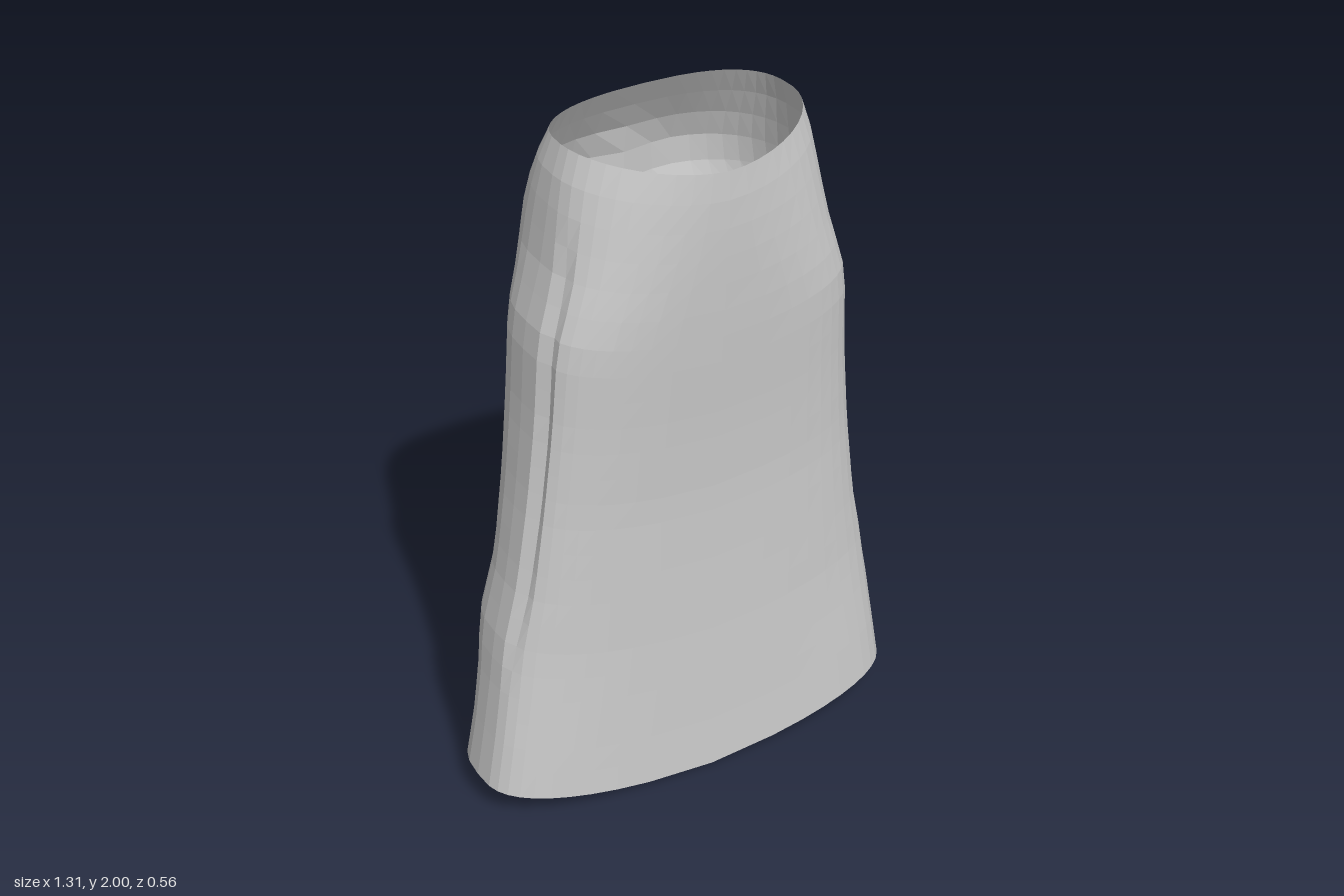
import * as THREE from 'three';

// Height fraction, half width, front depth, back depth, front and back squareness
const SECTIONS = [
  [0.00, 0.656, 0.225, 0.258, 3.4, 2.6],
  [0.08, 0.630, 0.221, 0.254, 3.4, 2.5],
  [0.16, 0.606, 0.219, 0.252, 3.2, 2.6],
  [0.24, 0.586, 0.218, 0.256, 3.0, 2.9],
  [0.345, 0.541, 0.218, 0.250, 3.3, 2.6],
  [0.48, 0.503, 0.221, 0.250, 3.5, 2.7],
  [0.605, 0.477, 0.236, 0.252, 3.5, 2.8],
  [0.735, 0.461, 0.257, 0.256, 3.4, 2.7],
  [0.78, 0.436, 0.264, 0.264, 3.2, 2.7],
  [0.825, 0.410, 0.270, 0.293, 2.9, 2.7],
  [0.89, 0.388, 0.278, 0.288, 2.4, 2.7],
  [0.95, 0.370, 0.282, 0.210, 2.1, 2.9],
  [1.00, 0.340, 0.280, 0.145, 1.95, 3.1],
];
const COLUMNS = 44;
const ROWS = 24;
const SIDE_Z = 0.03;

function sectionAt(v) {
  let i = 0;
  while (i < SECTIONS.length - 2 && v > SECTIONS[i + 1][0]) i++;
  const a = SECTIONS[i], b = SECTIONS[i + 1];
  const t = (v - a[0]) / (b[0] - a[0]);
  return a.map((value, k) => THREE.MathUtils.lerp(value, b[k], t));
}

const bell = (x, width) => Math.exp(-((x / width) ** 2));

function skirtPoint(column, v) {
  const angle = (column / COLUMNS) * Math.PI * 2;
  const s = Math.sin(angle), c = Math.cos(angle);
  const [, width, front, back, nf, nb] = sectionAt(v);
  const n = c >= 0 ? nf : nb;
  let x = Math.sign(s) * width * Math.abs(s) ** (2 / n);
  let z = c >= 0
    ? SIDE_Z + (front - SIDE_Z) * c ** (2 / n)
    : SIDE_Z - (back + SIDE_Z) * (-c) ** (2 / n);

  // Side fold just behind the front panel
  const fromFront = Math.min(column, COLUMNS - column);
  if (fromFront === 9 && v > 0.2 && v < 0.89) {
    x -= Math.sign(x) * 0.019 * Math.sqrt(Math.sin(((v - 0.2) / 0.69) * Math.PI));
  }
  // Shallow hollow down the middle of the seat
  if (c < 0) z += 0.036 * bell(x, 0.1) * bell(v - 0.855, 0.055);

  // Hem dips at front and back; waistline dips at the front
  const across = Math.min(1, Math.abs(x) / width);
  const hem = c >= 0 ? 0.095 * across ** 1.6 : 0.037 + 0.058 * across ** 2;
  const waist = c >= 0 ? 1.93 + 0.052 * across ** 1.5 : 2 - 0.018 * across ** 2;
  return [x, THREE.MathUtils.lerp(hem, waist, v), z];
}

export function createModel() {
  const group = new THREE.Group();
  group.name = 'garment';

  // Open tube lofted through the cross-sections
  const positions = [], indices = [];
  for (let r = 0; r <= ROWS; r++) {
    for (let k = 0; k < COLUMNS; k++) positions.push(...skirtPoint(k, r / ROWS));
  }
  for (let r = 0; r < ROWS; r++) {
    for (let k = 0; k < COLUMNS; k++) {
      const a = r * COLUMNS + k;
      const b = r * COLUMNS + ((k + 1) % COLUMNS);
      indices.push(a, b, b + COLUMNS, a, b + COLUMNS, a + COLUMNS);
    }
  }
  const geometry = new THREE.BufferGeometry();
  geometry.setAttribute('position', new THREE.Float32BufferAttribute(positions, 3));
  geometry.setIndex(indices);
  geometry.computeVertexNormals();

  const skirt = new THREE.Mesh(geometry, new THREE.MeshStandardMaterial({
    color: 0xcccccc, flatShading: true, side: THREE.DoubleSide,
  }));
  skirt.name = 'skirt';
  group.add(skirt);
  return group;
}
